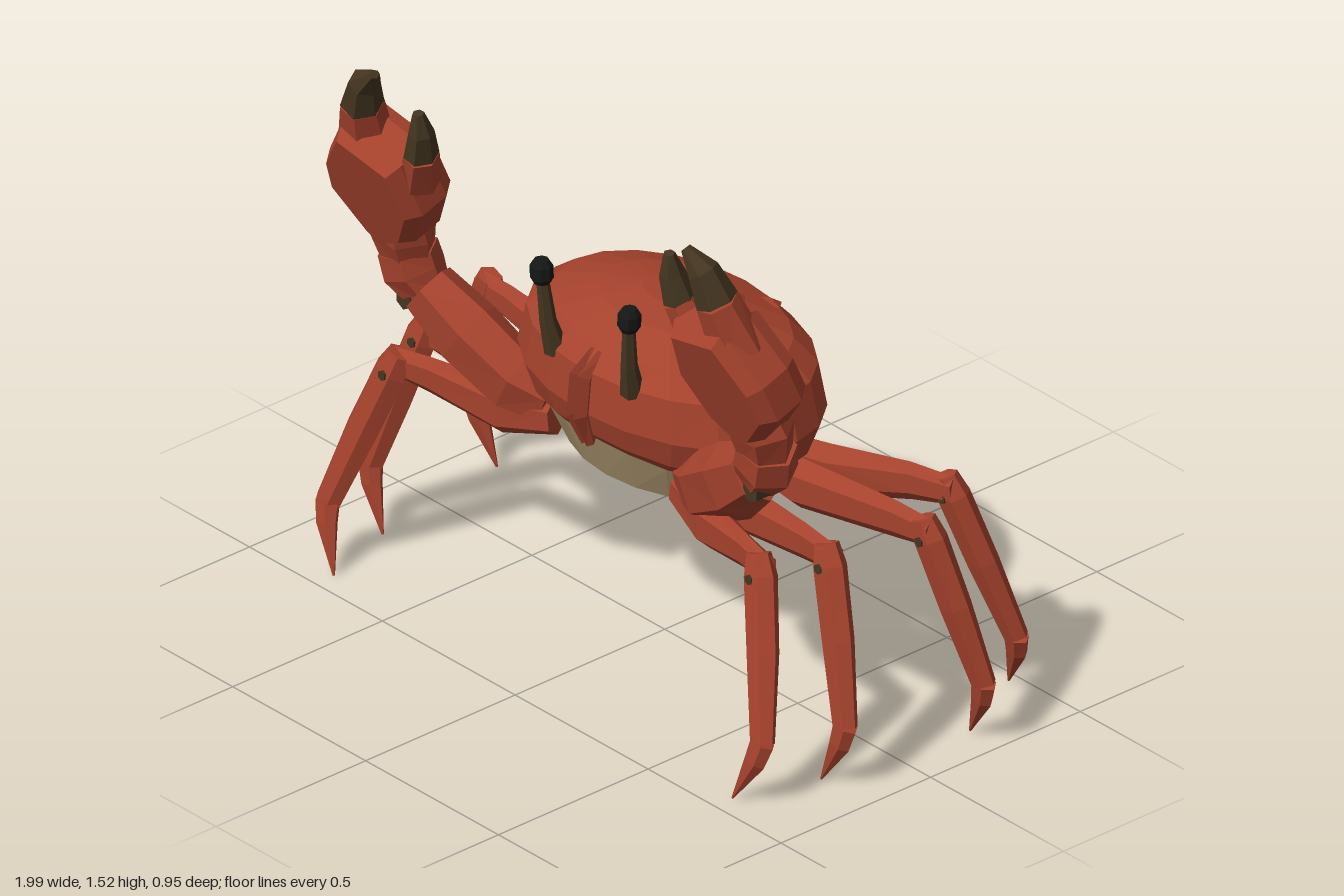
import * as THREE from 'three';

const mat = (name, color) => Object.assign(new THREE.MeshStandardMaterial({ color }), { name });

// Skin a list of equal-length rings into a closed, faceted solid
function loft(rings, capStart = true, capEnd = true) {
  const out = [];
  const tri = (a, b, c) => out.push(...a.toArray(), ...b.toArray(), ...c.toArray());
  const n = rings[0].length;
  const mid = (r) => r.reduce((s, p) => s.add(p), new THREE.Vector3()).divideScalar(n);
  const first = rings[0], last = rings[rings.length - 1];
  const c0 = mid(first), c1 = mid(last);
  for (let j = 0; j < n; j++) {
    const k = (j + 1) % n;
    for (let i = 0; i < rings.length - 1; i++) {
      tri(rings[i][j], rings[i][k], rings[i + 1][k]);
      tri(rings[i][j], rings[i + 1][k], rings[i + 1][j]);
    }
    if (capStart) tri(c0, first[k], first[j]);
    if (capEnd) tri(c1, last[j], last[k]);
  }
  const g = new THREE.BufferGeometry();
  g.setAttribute('position', new THREE.Float32BufferAttribute(out, 3));
  g.computeVertexNormals();
  return g;
}

// Tapered limb through sections [x, y, z, width, depth]
function limb(sections, sides = 6) {
  const pts = sections.map((s) => new THREE.Vector3(s[0], s[1], s[2]));
  return loft(pts.map((p, i) => {
    const t = new THREE.Vector3();
    if (i > 0) t.add(p.clone().sub(pts[i - 1]).normalize());
    if (i < pts.length - 1) t.add(pts[i + 1].clone().sub(p).normalize());
    t.normalize();
    const n = new THREE.Vector3(0, 0, 1).addScaledVector(t, -t.z).normalize();
    const b = n.clone().cross(t);
    const [, , , w, d] = sections[i];
    return Array.from({ length: sides }, (_, j) => {
      const a = (j / sides) * Math.PI * 2;
      return p.clone().addScaledVector(b, Math.cos(a) * w / 2).addScaledVector(n, Math.sin(a) * d / 2);
    });
  }));
}

// Faceted copy of a geometry, reflected to the other side when asked
function faceted(geo, reflect) {
  const g = geo.index ? geo.toNonIndexed() : geo.clone();
  if (reflect) {
    const p = g.attributes.position;
    for (let i = 0; i < p.count; i += 3) {
      const v = [0, 2, 1].map((k) => new THREE.Vector3().fromBufferAttribute(p, i + k));
      v.forEach((q, k) => p.setXYZ(i + k, -q.x, q.y, q.z));
    }
  }
  g.computeVertexNormals();
  return g;
}

export function createModel() {
  const crab = new THREE.Group();
  crab.name = 'crab';
  const red = mat('shell red', 0xa5422d);
  const tan = mat('belly tan', 0xa8926c);
  const dark = mat('dark brown', 0x443520);
  const black = mat('eye black', 0x161717);

  const add = (name, geo, material) => {
    const m = new THREE.Mesh(geo, material);
    m.name = name;
    crab.add(m);
  };
  const pair = (name, geo, material) => {
    add(name + 'Left', faceted(geo, false), material);
    add(name + 'Right', faceted(geo, true), material);
  };

  // Oval body rings; lift raises the front of the ring
  const oval = (y, rx, rz, lift = 0) => Array.from({ length: 20 }, (_, j) => {
    const a = (j / 20) * Math.PI * 2, c = Math.cos(a);
    return new THREE.Vector3(rx * Math.sin(a), y + lift * Math.max(0, c) ** 3, -0.025 + rz * c);
  });
  const seam = oval(0.598, 0.375, 0.265, 0.045);
  add('carapace', loft([
    seam, oval(0.635, 0.43, 0.285, 0.03), oval(0.73, 0.472, 0.305), oval(0.845, 0.44, 0.293),
    oval(0.9, 0.365, 0.245), oval(0.945, 0.22, 0.15), oval(0.965, 0.09, 0.06),
  ], false), red);
  add('belly', loft([oval(0.517, 0.315, 0.22), seam], true, false), tan);

  // Double ridge on the face
  pair('faceRidge', limb([
    [0.013, 0.88, 0.22, 0.026, 0.04], [0.014, 0.83, 0.275, 0.028, 0.07],
    [0.014, 0.73, 0.285, 0.028, 0.065], [0.01, 0.635, 0.255, 0.02, 0.03],
  ], 4), red);

  // Small flat thorns on the back of the shell
  for (const [x, y, z] of [[0.135, 0.903, -0.25], [0.1, 0.938, -0.165]]) {
    pair('shellThorn', new THREE.ConeGeometry(0.04, 0.045, 4).rotateX(-Math.PI / 2)
      .scale(1, 0.3, 1).rotateX(-0.35).translate(x, y, z), red);
  }

  // Eyes on stalks
  pair('eyeStalk', limb([
    [0.143, 0.83, 0.235, 0.064, 0.064], [0.153, 0.92, 0.255, 0.044, 0.044], [0.163, 1.045, 0.265, 0.032, 0.032],
  ]), dark);
  pair('eye', limb([
    [0.164, 1.028, 0.265, 0.044, 0.044], [0.164, 1.042, 0.265, 0.06, 0.06],
    [0.166, 1.076, 0.265, 0.06, 0.06], [0.166, 1.092, 0.265, 0.04, 0.04],
  ], 8), black);

  // Walking legs: knee x, hip z, knee z, ankle z, tip z
  const legs = [
    [0.69, 0.15, 0.285, 0.4, 0.44],
    [0.765, 0.06, 0.125, 0.19, 0.21],
    [0.83, -0.1, -0.14, -0.215, -0.23],
    [0.705, -0.16, -0.325, -0.435, -0.47],
  ];
  for (const [k, hz, kz, az, tz] of legs) {
    const mz = (kz + az) / 2;
    const pinZ = kz + (mz - kz) * 0.2;
    const thighZ = (x) => hz + (kz - hz) * (x - 0.24) / (k - 0.24);
    pair('upperLeg', limb([
      [0.24, 0.565, hz, 0.1, 0.09], [0.39, 0.545, thighZ(0.39), 0.145, 0.09],
      [k - 0.1, 0.575, thighZ(k - 0.1), 0.105, 0.05], [k + 0.02, 0.582, kz, 0.08, 0.052],
    ]), red);
    pair('lowerLeg', limb([
      [k - 0.015, 0.615, kz, 0.07, 0.06], [k + 0.005, 0.56, pinZ, 0.1, 0.08],
      [k + 0.065, 0.38, mz, 0.1, 0.075], [k + 0.128, 0.17, az, 0.078, 0.056],
    ]), red);
    pair('foot', limb([
      [k + 0.128, 0.175, az, 0.078, 0.056], [k + 0.115, 0.12, az + (tz - az) * 0.35, 0.068, 0.048],
      [k + 0.06, 0, tz, 0.006, 0.006],
    ]), red);
    pair('kneePin', new THREE.CylinderGeometry(0.014, 0.014, 0.078, 6).rotateX(Math.PI / 2)
      .translate(k, 0.56, pinZ), dark);
  }

  // Claw arms
  pair('upperArm', limb([
    [0.27, 0.595, 0.14, 0.15, 0.12], [0.36, 0.63, 0.175, 0.195, 0.16],
    [0.5, 0.72, 0.21, 0.21, 0.17], [0.62, 0.81, 0.24, 0.165, 0.14],
  ]), red);
  pair('elbow', new THREE.CylinderGeometry(0.03, 0.03, 0.1, 6).rotateX(Math.PI / 2)
    .translate(0.652, 0.782, 0.245), dark);
  pair('forearm', limb([
    [0.62, 0.79, 0.235, 0.12, 0.12], [0.662, 0.85, 0.25, 0.175, 0.16], [0.675, 0.91, 0.26, 0.175, 0.15],
  ]), red);
  pair('wrist', limb([
    [0.673, 0.89, 0.26, 0.15, 0.13], [0.676, 0.97, 0.275, 0.19, 0.16], [0.66, 1.04, 0.295, 0.16, 0.14],
  ]), red);

  // Broad bevelled palm, leaning forward
  const tilt = 0.35;
  const outline = [
    [0.67, 0.955], [0.73, 0.985], [0.83, 1.1], [0.815, 1.2], [0.715, 1.335], [0.515, 1.285], [0.495, 1.13], [0.57, 1.01],
  ].map(([x, y]) => new THREE.Vector2(x - 0.66, (y - 1.145) / Math.cos(tilt)));
  pair('palm', new THREE.ExtrudeGeometry(new THREE.Shape(outline), {
    depth: 0.085, bevelThickness: 0.04, bevelSize: 0.025, bevelOffset: -0.025, bevelSegments: 1,
  }).translate(0, 0, -0.0425).rotateX(tilt).translate(0.66, 1.145, 0.335), red);

  // Pincer fingers with dark tips
  const bigJoint = [0.668, 1.385, 0.418, 0.11, 0.115];
  pair('outerFinger', limb([[0.7, 1.25, 0.375, 0.16, 0.14], bigJoint]), red);
  pair('outerFingerTip', limb([
    bigJoint, [0.638, 1.465, 0.437, 0.082, 0.085], [0.585, 1.515, 0.45, 0.022, 0.03],
  ]), dark);
  const smallJoint = [0.488, 1.3, 0.38, 0.085, 0.095];
  pair('innerFinger', limb([[0.53, 1.2, 0.35, 0.11, 0.12], smallJoint]), red);
  pair('innerFingerTip', limb([
    smallJoint, [0.472, 1.375, 0.395, 0.066, 0.07], [0.472, 1.435, 0.405, 0.032, 0.03],
  ]), dark);

  return crab;
}
